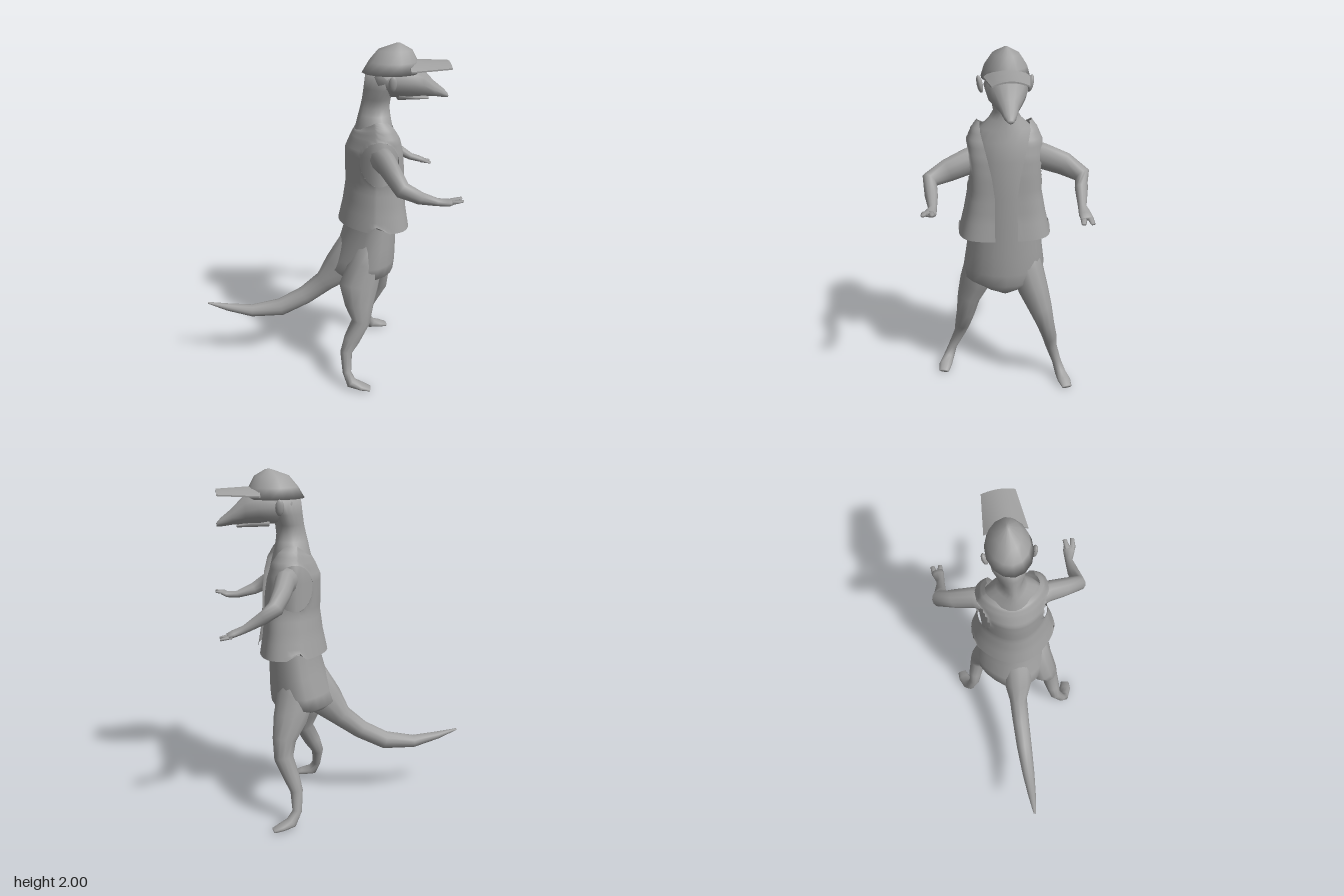
import * as THREE from 'three';

const fur = new THREE.MeshStandardMaterial({ color: 0xa0a0a0, side: THREE.DoubleSide });
fur.name = 'plain grey';

const Y = new THREE.Vector3(0, 1, 0), Z = new THREE.Vector3(0, 0, 1), X = new THREE.Vector3(1, 0, 0);

// Closed skin over rings [x, y, z, half width, half depth]; taper narrows each ring towards its back
function loft(rings, { ref = Z, dir = null, sides = 12, taper = 0 } = {}) {
  const pos = [], idx = [];
  const centres = rings.map(r => new THREE.Vector3(r[0], r[1], r[2]));
  rings.forEach((r, i) => {
    const t = dir ? dir.clone() : centres[Math.min(i + 1, rings.length - 1)].clone()
      .sub(centres[Math.max(i - 1, 0)]).normalize();
    const u = t.clone().cross(ref).normalize(), v = t.clone().cross(u);
    for (let j = 0; j < sides; j++) {
      const a = j / sides * Math.PI * 2, c = Math.cos(a);
      const depth = r[4] * Math.sin(a) * (1 - taper * Math.max(0, -c));
      const p = centres[i].clone().addScaledVector(u, r[3] * c).addScaledVector(v, depth);
      pos.push(p.x, p.y, p.z);
    }
  });
  const n = rings.length, first = n * sides, last = first + 1;
  pos.push(...centres[0].toArray(), ...centres[n - 1].toArray());
  for (let j = 0; j < sides; j++) {
    const k = (j + 1) % sides, e = (n - 1) * sides;
    for (let i = 0; i < n - 1; i++) {
      const a = i * sides + j, b = i * sides + k;
      idx.push(a, b, b + sides, a, b + sides, a + sides);
    }
    idx.push(first, k, j, last, e + j, e + k);
  }
  return surface(pos, idx);
}

function surface(pos, idx) {
  const g = new THREE.BufferGeometry();
  g.setAttribute('position', new THREE.Float32BufferAttribute(pos, 3));
  g.setIndex(idx);
  g.computeVertexNormals();
  return g;
}

// Open waistcoat: rows of [y, back x, front x, half width, half front opening, drop at the back]
function vestGeometry() {
  const rows = [
    [0.98, 0.08, 0.475, 0.25, 0.06, 0], [1.1, 0.105, 0.455, 0.222, 0.06, 0], [1.22, 0.12, 0.445, 0.2, 0.06, 0],
    [1.33, 0.115, 0.44, 0.2, 0.075, 0], [1.42, 0.115, 0.43, 0.205, 0.095, 0], [1.5, 0.145, 0.41, 0.2, 0.115, 0.01],
    [1.56, 0.165, 0.38, 0.175, 0.13, 0.035], [1.6, 0.19, 0.34, 0.145, 0.13, 0.06],
  ];
  const per = 4, cols = 64, total = (rows.length - 1) * per;
  const square = 0.58; // squarer corners at the front, narrowing at the back
  const pow = (v, e) => Math.sign(v) * Math.abs(v) ** e;
  const pos = [], idx = [], inside = [];
  for (let i = 0; i <= total; i++) {
    const k = Math.min(Math.floor(i / per), rows.length - 2), f = i / per - k;
    const [h, x0, x1, hz, gap, drop] = rows[k].map((v, c) => v + (rows[k + 1][c] - v) * f);
    const start = Math.asin(Math.min(1, (gap / hz) ** (1 / square)));
    for (let j = 0; j <= cols; j++) {
      const t = start + (2 * Math.PI - 2 * start) * j / cols;
      const c = Math.cos(t), e = c > 0 ? square : 0.95, back = Math.max(0, -c);
      let x = (x0 + x1) / 2 + (x1 - x0) / 2 * pow(c, e), y = h - drop * back;
      const z = hz * pow(Math.sin(t), e) * (1 - 0.28 * back);
      // notch at the side of the hem
      if (i === 0) y += Math.max(0, 0.055 - Math.abs(x - 0.28) * 1.1);
      // push points out to the rim of the armhole
      const dx = (x - 0.285) / 0.105, dy = (y - 1.375) / 0.13, r = Math.hypot(dx, dy);
      const hit = r < 1 && Math.abs(z) > 0.12;
      if (hit) { x = 0.285 + 0.105 * dx / (r || 1); y = 1.375 + 0.13 * dy / (r || 1); }
      inside.push(hit);
      pos.push(x, y, z);
    }
  }
  for (let i = 0; i < total; i++) for (let j = 0; j < cols; j++) {
    const a = i * (cols + 1) + j, b = a + 1, c = b + cols + 1, d = c - 1;
    if ([a, b, c, d].every(q => inside[q])) continue;
    idx.push(a, c, b, a, d, c);
  }
  return surface(pos, idx);
}

export function createModel() {
  const model = new THREE.Group();
  model.name = 'standing animal in cap and waistcoat';
  const add = (name, geometry) => {
    const m = new THREE.Mesh(geometry, fur);
    m.name = name;
    model.add(m);
    return m;
  };

  // Torso and neck: [y, back x, front x, half width]
  const torso = [
    [0.59, 0.2, 0.34, 0.03], [0.625, 0.06, 0.385, 0.14], [0.67, 0.03, 0.41, 0.225], [0.74, 0.055, 0.417, 0.228],
    [0.85, 0.09, 0.418, 0.213], [1.0, 0.13, 0.42, 0.195], [1.2, 0.14, 0.42, 0.18], [1.4, 0.135, 0.415, 0.188],
    [1.5, 0.16, 0.39, 0.175], [1.56, 0.175, 0.375, 0.14], [1.61, 0.185, 0.365, 0.085], [1.65, 0.195, 0.36, 0.062],
    [1.7, 0.205, 0.365, 0.072], [1.76, 0.212, 0.39, 0.095], [1.84, 0.22, 0.44, 0.105],
  ];
  add('torso', loft(torso.map(([y, a, b, w]) => [(a + b) / 2, y, -0.005, (b - a) / 2, w]),
    { dir: Y, sides: 20, taper: 0.32 }));

  add('tail', loft([
    [0.22, 0.88, 0, 0.1, 0.1], [0.1, 0.66, -0.01, 0.11, 0.09], [0, 0.55, -0.025, 0.066, 0.055],
    [-0.12, 0.455, -0.03, 0.056, 0.052], [-0.27, 0.375, -0.035, 0.054, 0.048], [-0.45, 0.355, -0.04, 0.037, 0.038],
    [-0.6, 0.385, -0.045, 0.022, 0.024], [-0.718, 0.418, -0.05, 0.005, 0.008],
  ]));

  // Legs with feet, the thighs running up inside the hips
  add('leftLeg', loft([
    [0.26, 0.88, 0.11, 0.07, 0.08], [0.23, 0.74, 0.125, 0.1, 0.095], [0.185, 0.61, 0.158, 0.117, 0.088],
    [0.187, 0.5, 0.195, 0.085, 0.068], [0.195, 0.4, 0.215, 0.056, 0.055], [0.14, 0.29, 0.235, 0.05, 0.045],
    [0.105, 0.21, 0.25, 0.036, 0.035], [0.105, 0.1, 0.3, 0.026, 0.026], [0.13, 0.04, 0.325, 0.034, 0.032],
    [0.19, 0.025, 0.345, 0.022, 0.038], [0.24, 0.012, 0.355, 0.01, 0.028],
  ]));
  add('rightLeg', loft([
    [0.27, 0.88, -0.11, 0.07, 0.08], [0.28, 0.74, -0.125, 0.11, 0.095], [0.32, 0.61, -0.165, 0.1, 0.085],
    [0.362, 0.5, -0.205, 0.068, 0.066], [0.37, 0.4, -0.235, 0.055, 0.05], [0.33, 0.29, -0.265, 0.046, 0.042],
    [0.305, 0.21, -0.28, 0.036, 0.033], [0.308, 0.1, -0.315, 0.028, 0.026], [0.345, 0.04, -0.335, 0.034, 0.032],
    [0.4, 0.025, -0.35, 0.022, 0.038], [0.45, 0.012, -0.36, 0.01, 0.028],
  ]));

  // Arms share their thickness; each hand ends in two prongs
  const thick = [[0.07, 0.08], [0.055, 0.072], [0.048, 0.064], [0.042, 0.048], [0.034, 0.036],
    [0.022, 0.022], [0.034, 0.018], [0.034, 0.012]];
  const arms = {
    left: [[0.28, 1.4, 0.1], [0.32, 1.38, 0.2], [0.345, 1.345, 0.3], [0.375, 1.305, 0.395], [0.47, 1.255, 0.388],
      [0.57, 1.225, 0.382], [0.63, 1.225, 0.395], [0.66, 1.235, 0.405]],
    right: [[0.29, 1.42, -0.1], [0.34, 1.41, -0.2], [0.37, 1.375, -0.31], [0.41, 1.325, -0.4], [0.47, 1.275, -0.388],
      [0.57, 1.215, -0.378], [0.63, 1.195, -0.385], [0.66, 1.185, -0.39]],
  };
  for (const [side, path] of Object.entries(arms)) {
    add(side + 'Arm', loft(path.map((p, i) => [...p, ...thick[i]]), { ref: Y }));
    const [x, y, z] = path[7], lift = side === 'left' ? 0.01 : -0.012;
    for (const s of [-1, 1]) {
      add(side + 'Finger', loft([
        [x - 0.02, y, z + s * 0.015, 0.018, 0.011],
        [x + 0.04, y + lift, z + s * 0.023, 0.012, 0.006],
      ], { ref: Y, sides: 6 }));
    }
  }

  // Head with long snout, and the lower jaw
  add('head', loft([
    [0.24, 1.84, 0, 0.02, 0.03], [0.28, 1.82, 0, 0.07, 0.09], [0.36, 1.805, 0, 0.1, 0.11], [0.46, 1.8, 0, 0.095, 0.105],
    [0.53, 1.785, 0, 0.078, 0.082], [0.6, 1.748, 0, 0.044, 0.048], [0.66, 1.72, 0, 0.024, 0.03], [0.685, 1.706, 0, 0.01, 0.014],
  ], { dir: X }));
  add('lowerJaw', loft([
    [0.4, 1.72, 0, 0.03, 0.07], [0.5, 1.707, 0, 0.018, 0.045], [0.575, 1.696, 0, 0.007, 0.02],
  ], { dir: X, sides: 8 }));
  for (const s of [-1, 1]) {
    const ear = add(s > 0 ? 'leftEar' : 'rightEar', new THREE.SphereGeometry(1, 10, 8));
    ear.scale.set(0.024, 0.046, 0.016);
    ear.position.set(0.35, 1.805, s * 0.128);
    ear.rotation.x = s * 0.2;
  }

  // Cap crown and arched brim
  add('capCrown', loft([
    [0.362, 1.845, 0, 0.163, 0.125], [0.37, 1.905, 0, 0.136, 0.108], [0.378, 1.965, 0, 0.095, 0.068], [0.395, 2, 0, 0.015, 0.01],
  ], { dir: Y, sides: 14 }));
  const brim = new THREE.BoxGeometry(0.23, 0.008, 2, 4, 1, 10);
  const p = brim.attributes.position;
  for (let i = 0; i < p.count; i++) {
    const f = p.getX(i) / 0.23 + 0.5, s = p.getZ(i);
    p.setXYZ(i, 0.45 + 0.23 * f, p.getY(i) + 1.908 - 0.013 * f - (0.045 - 0.023 * f) * s * s, s * (0.115 - 0.025 * f));
  }
  brim.computeVertexNormals();
  add('capBrim', brim);

  add('waistcoat', vestGeometry());
  return model;
}
